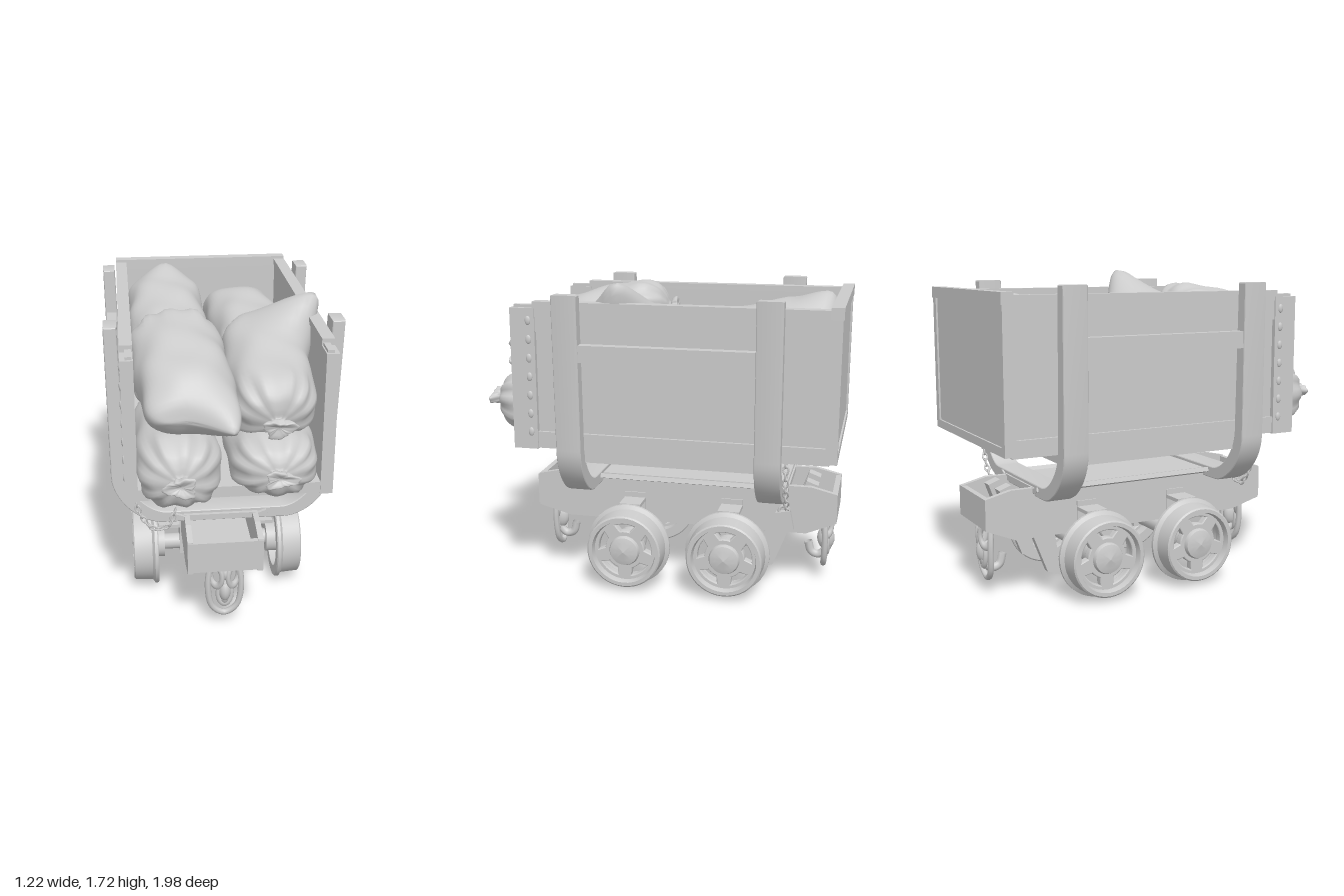
import * as THREE from 'three';
import { mergeVertices, toCreasedNormals } from 'three/addons/utils/BufferGeometryUtils.js';

const mat = new THREE.MeshStandardMaterial({ color: 0xcccccc, side: THREE.DoubleSide });
const V = (x, y, z) => new THREE.Vector3(x, y, z);

function add(parent, name, geo, x = 0, y = 0, z = 0) {
  const m = new THREE.Mesh(geo, mat);
  m.name = name;
  m.position.set(x, y, z);
  parent.add(m);
  return m;
}

// Box given by its limits on each axis
function block(parent, name, x0, x1, y0, y1, z0, z1) {
  return add(parent, name, new THREE.BoxGeometry(x1 - x0, y1 - y0, z1 - z0),
    (x0 + x1) / 2, (y0 + y1) / 2, (z0 + z1) / 2);
}

const tube = (pts, r) => new THREE.TubeGeometry(new THREE.CatmullRomCurve3(pts), 36, r, 8);

// Stuffed sack: flat seam at -z, tied neck at +z
const sackProfile = new THREE.CatmullRomCurve3([
  [-1, 0, 0], [-0.99, 0.6, 0.12], [-0.88, 0.88, 0.55], [-0.6, 0.97, 0.9], [-0.2, 1, 1], [0.2, 1, 1],
  [0.6, 0.95, 0.97], [0.8, 0.72, 0.74], [0.88, 0.4, 0.42], [0.91, 0.17, 0.18], [0.95, 0.27, 0.24],
  [1.01, 0.35, 0.24], [0.97, 0, 0]].map(p => V(...p)));

function sack(parent, name, o) {
  let g = new THREE.SphereGeometry(1, 48, 48);
  const p = g.attributes.position, uv = g.attributes.uv;
  const soft = c => Math.sign(c) * Math.abs(c) ** 0.85;
  for (let i = 0; i < p.count; i++) {
    const a = uv.getX(i) * Math.PI * 2, s = THREE.MathUtils.clamp(uv.getY(i), 0, 1);
    const q = sackProfile.getPoint(s);
    const pleat = 0.07 * THREE.MathUtils.smoothstep(q.x, 0.35, 0.85) * Math.cos(11 * a + o.seed);
    const ruffle = 0.22 * THREE.MathUtils.smoothstep(q.x, 0.91, 1) * Math.cos(3 * a + 2 * o.seed);
    const fold = 0.025 * Math.sin(3 * a + 9 * q.x + o.seed) + 0.02 * Math.sin(5 * a - 6 * q.x + 2 * o.seed);
    const k = 1 + pleat + fold + ruffle;
    p.setXYZ(i, -soft(Math.cos(a)) * Math.max(q.y, 0) * k * o.w, q.x * o.l,
      soft(Math.sin(a)) * Math.max(q.z, 0) * k * o.h);
  }
  g.rotateX(Math.PI / 2);
  g.rotateY(o.yaw || 0);
  g.rotateX(o.pitch || 0);
  g.translate(...o.at);
  // Drag cloth corners towards a point
  for (const [from, to, r] of o.pulls || []) {
    const f = V(...from), d = V(...to).sub(f), v = V();
    for (let i = 0; i < p.count; i++) {
      v.fromBufferAttribute(p, i);
      v.addScaledVector(d, Math.max(0, 1 - v.distanceTo(f) / r) ** 1.5);
      p.setXYZ(i, v.x, v.y, v.z);
    }
  }
  g.deleteAttribute('uv');
  g.deleteAttribute('normal');
  g = mergeVertices(g, 1e-5);
  g.computeVertexNormals();
  add(parent, name, g);
}

// Chain of alternating links along a curve
function chain(parent, name, pts) {
  const c = new THREE.CatmullRomCurve3(pts), n = Math.round(c.getLength() / 0.036);
  const link = new THREE.TorusGeometry(0.014, 0.005, 6, 12).scale(1.5, 1, 1);
  for (let i = 0; i <= n; i++) {
    const m = add(parent, name, link);
    m.position.copy(c.getPointAt(i / n));
    m.quaternion.setFromUnitVectors(V(1, 0, 0), c.getTangentAt(i / n));
    m.rotateX(i % 2 ? Math.PI / 2 : 0.2);
  }
}

// Smooth turned part along +x from [radius, x] pairs
const turned = pts => toCreasedNormals(
  new THREE.LatheGeometry(pts.map(p => new THREE.Vector2(...p)), 40).rotateZ(-Math.PI / 2), 0.6);

function makeWheel() {
  const w = new THREE.Group();
  w.name = 'wheel';
  add(w, 'rim', turned([[0.172, 0], [0.228, 0], [0.235, 0.006], [0.235, 0.022], [0.215, 0.036], [0.208, 0.135],
    [0.2, 0.142], [0.18, 0.142], [0.172, 0.11], [0.172, 0]]));
  // Spoked disc
  const disc = new THREE.Shape().absarc(0, 0, 0.178, 0, Math.PI * 2);
  for (let i = 0; i < 5; i++) {
    const a = i / 5 * Math.PI * 2 + 0.3, hole = new THREE.Path();
    hole.absarc(0, 0, 0.156, a - 0.42, a + 0.42, false);
    hole.absarc(0, 0, 0.106, a + 0.28, a - 0.28, true);
    hole.closePath();
    disc.holes.push(hole);
  }
  add(w, 'spokes', new THREE.ExtrudeGeometry(disc, { depth: 0.03, bevelSize: 0.006, bevelThickness: 0.008, bevelSegments: 2, curveSegments: 20 })
    .rotateY(Math.PI / 2), 0.07);
  add(w, 'hub', turned([[0, -0.04], [0.085, -0.04], [0.085, 0.115], [0.078, 0.13], [0.05, 0.138], [0.015, 0.142], [0, 0.148]]));
  return w;
}

export function createModel() {
  const model = new THREE.Group();
  model.name = 'mineCart';
  const body = new THREE.Group(), truck = new THREE.Group(), load = new THREE.Group();
  body.name = 'body'; truck.name = 'undercarriage'; load.name = 'sacks';
  truck.position.x = -0.02;
  model.add(body, truck, load);

  // Hopper, open at the front and top
  block(body, 'floor', -0.5, 0.5, 0.83, 0.89, -0.95, 0.73);
  block(body, 'subframe', -0.51, 0.51, 0.76, 0.83, -0.66, 0.46);
  block(body, 'backPanel', -0.5, 0.5, 0.86, 1.6, -0.98, -0.94);
  block(body, 'backTopRail', -0.53, 0.53, 1.575, 1.635, -0.995, -0.93);
  block(body, 'backBottomRail', -0.53, 0.53, 0.84, 0.885, -0.99, -0.93);
  for (const s of [-1, 1]) {
    const side = (name, x0, x1, ...r) => block(body, name, Math.min(s * x0, s * x1), Math.max(s * x0, s * x1), ...r);
    side('backPost', 0.485, 0.53, 0.85, 1.62, -0.99, -0.93);
    side('sidePanel', 0.472, 0.505, 0.85, 1.6, -0.95, 0.72);
    side('sideTopRail', 0.485, 0.522, 1.46, 1.605, -0.95, 0.61);
    side('sideCap', 0.465, 0.53, 1.585, 1.62, -0.95, 0.61);
    side('sideBottomRail', 0.49, 0.522, 0.83, 0.92, -0.95, 0.7);
    side('frontPost', 0.465, 0.53, 0.825, 1.585, 0.6, 0.735);
    side('grabRail', 0.54, 0.595, 1.32, 1.41, -0.6, 0.38);
    for (let i = 0; i < 7; i++) // flat rivets on the front post
      add(body, 'rivet', new THREE.SphereGeometry(0.016, 10, 8).scale(0.5, 1.5, 1), s * 0.53, 0.92 + i * 0.1, 0.635);
  }

  // U-shaped straps cradling the hopper
  const strap = new THREE.Shape();
  strap.moveTo(-0.6, 1.66);
  strap.lineTo(-0.595, 0.84);
  strap.bezierCurveTo(-0.595, 0.7, -0.45, 0.56, -0.33, 0.56);
  strap.lineTo(0.33, 0.56);
  strap.bezierCurveTo(0.45, 0.56, 0.58, 0.7, 0.58, 0.84);
  strap.lineTo(0.605, 1.66);
  strap.lineTo(0.55, 1.66);
  strap.lineTo(0.52, 0.86);
  strap.bezierCurveTo(0.52, 0.75, 0.41, 0.615, 0.31, 0.615);
  strap.lineTo(-0.31, 0.615);
  strap.bezierCurveTo(-0.41, 0.615, -0.53, 0.75, -0.53, 0.86);
  strap.lineTo(-0.545, 1.66);
  strap.closePath();
  const strapGeo = toCreasedNormals(new THREE.ExtrudeGeometry(strap,
    { depth: 0.115, bevelSize: 0.006, bevelThickness: 0.01, bevelSegments: 2, curveSegments: 14 }), 0.5);
  for (const z of [0.355, -0.7]) add(body, 'strap', strapGeo, 0, 0, z);

  // Chassis trough: side plates, ends, deck and belly
  const sideShape = new THREE.Shape([[0.735, 0.57], [0.6, 0.6], [-0.84, 0.6], [-0.985, 0.565], [-0.985, 0.4],
    [-0.82, 0.33], [0.55, 0.33], [0.735, 0.38]].map(p => new THREE.Vector2(...p)));
  const sideGeo = new THREE.ExtrudeGeometry(sideShape, { depth: 0.03, bevelEnabled: false }).rotateY(-Math.PI / 2);
  for (const s of [-1, 1]) {
    add(truck, 'chassisSide', sideGeo, s * 0.185 + 0.015);
    const flange = block(truck, 'chassisFlange', s * 0.215 - 0.04, s * 0.215 + 0.04, 0.575, 0.6, -0.72, 0.5);
    flange.rotation.z = s * 0.35;
    const stop = block(truck, 'rearStop', s * 0.08 - 0.035, s * 0.08 + 0.035, 0.45, 0.6, -0.85, -0.78);
    stop.rotation.x = -0.35;
  }
  block(truck, 'deck', -0.2, 0.2, 0.57, 0.602, -0.72, 0.5);
  block(truck, 'belly', -0.18, 0.18, 0.39, 0.41, -0.96, 0.72);
  block(truck, 'frontPlate', -0.2, 0.2, 0.39, 0.565, 0.71, 0.74);
  block(truck, 'rearPlate', -0.2, 0.2, 0.4, 0.565, -0.985, -0.955);

  // Axles, wheels and their mounts
  for (const z of [0.155, -0.405]) {
    add(truck, 'axle', new THREE.CylinderGeometry(0.045, 0.045, 0.66, 18).rotateZ(Math.PI / 2), 0, 0.24, z);
    for (const s of [-1, 1]) {
      const w = makeWheel();
      w.position.set(s * 0.336, 0.238, z);
      if (s < 0) w.rotation.y = Math.PI;
      truck.add(w);
      block(truck, 'axleGuard', s * 0.19 - 0.018, s * 0.19 + 0.018, 0.19, 0.5, z - 0.06, z + 0.06);
      for (const y of [0.37, 0.46])
        block(truck, 'springBracket', s * 0.26 - 0.07, s * 0.26 + 0.07, y - 0.01, y + 0.01, z - 0.06, z + 0.06);
    }
  }

  // Slanted brake arms behind the rear wheels
  const brake = new THREE.Shape([[-0.6, 0.36], [-0.73, 0.36], [-0.64, 0.13], [-0.56, 0.1]].map(p => new THREE.Vector2(...p)));
  const brakeGeo = new THREE.ExtrudeGeometry(brake, { depth: 0.04, bevelEnabled: false }).rotateY(-Math.PI / 2);
  for (const x of [-0.16, 0.2]) add(truck, 'brakeArm', brakeGeo, x);

  // Coupling hook, shackle and links at each end
  for (const [z, s] of [[0.67, 1], [-0.91, -1]]) {
    const c = new THREE.Group();
    c.name = 'coupling';
    c.position.z = z;
    c.scale.z = s;
    truck.add(c);
    add(c, 'shackle', tube([V(-0.07, 0.42, 0), V(-0.09, 0.27, 0.01), V(-0.065, 0.13, 0.005), V(0, 0.085, 0),
      V(0.065, 0.13, 0.005), V(0.09, 0.27, 0.01), V(0.07, 0.42, 0)], 0.017));
    add(c, 'hook', tube([V(0, 0.34, 0), V(0, 0.25, 0.03), V(0, 0.17, 0.01), V(0, 0.135, -0.03), V(0, 0.15, -0.07),
      V(0, 0.21, -0.09)], 0.024));
    add(c, 'hookShank', new THREE.SphereGeometry(0.05, 16, 12).scale(0.7, 1.4, 1), 0, 0.24, 0.01);
    add(c, 'hookEye', new THREE.TorusGeometry(0.035, 0.018, 8, 20).rotateY(Math.PI / 2), 0, 0.35, 0);
    for (const [x, y] of [[-0.045, 0.33], [0.045, 0.33], [0, 0.22]])
      add(c, 'link', new THREE.TorusGeometry(0.036, 0.014, 8, 18).scale(1, 1.7, 1).rotateY(x * 14), x, y, 0.02);
  }

  // Safety chains and padlock
  chain(body, 'frontChain', [V(-0.48, 0.8, 0.5), V(-0.46, 0.64, 0.5), V(-0.38, 0.53, 0.5), V(-0.3, 0.55, 0.5), V(-0.27, 0.63, 0.5)]);
  chain(body, 'rearChain', [V(0.49, 0.82, -0.73), V(0.48, 0.68, -0.73), V(0.4, 0.55, -0.73), V(0.31, 0.53, -0.72)]);
  add(body, 'padlockShackle', new THREE.TorusGeometry(0.028, 0.008, 8, 16).rotateY(Math.PI / 2), 0.31, 0.5, -0.71);
  const lock = add(body, 'padlock', new THREE.BoxGeometry(0.035, 0.11, 0.08), 0.31, 0.445, -0.715);
  lock.rotation.x = 0.2;

  // Lower layer of sacks, then the upper layer
  const sacks = [
    { at: [-0.26, 1.02, 0.48], l: 0.5, w: 0.215, h: 0.2 },
    { at: [0.22, 1.03, 0.48], l: 0.48, w: 0.225, h: 0.17 },
    { at: [-0.24, 1.06, -0.48], l: 0.44, w: 0.22, h: 0.18 },
    { at: [0.24, 1.06, -0.48], l: 0.44, w: 0.22, h: 0.18 },
    { at: [0, 1.15, 0], l: 0.4, w: 0.2, h: 0.16, yaw: 1.2 },
    { at: [-0.24, 1.36, -0.5], l: 0.43, w: 0.225, h: 0.185, pitch: 0.24, pulls: [[[-0.25, 1.5, -0.85], [-0.22, 1.62, -0.88], 0.2]] },
    { at: [0.24, 1.3, -0.5], l: 0.43, w: 0.215, h: 0.19, pitch: 0.12, yaw: 0.1 },
    { at: [-0.22, 1.41, 0.43], l: 0.44, w: 0.24, h: 0.2, yaw: Math.PI + 0.08, pitch: 0.22,
      pulls: [[[-0.04, 1.32, 0.83], [0.0, 1.29, 0.97], 0.2]] },
    { at: [0.23, 1.36, 0.38], l: 0.46, w: 0.22, h: 0.2, pitch: 0.27,
      pulls: [[[0.44, 1.48, -0.05], [0.33, 1.46, 0.02], 0.25], [[0.02, 1.48, -0.05], [0.12, 1.46, 0.02], 0.22],
        [[0.37, 1.54, 0.17], [0.53, 1.73, 0.17], 0.24]] },
  ];
  sacks.forEach((o, i) => sack(load, 'sack', { seed: i * 1.7, ...o }));
  return model;
}
